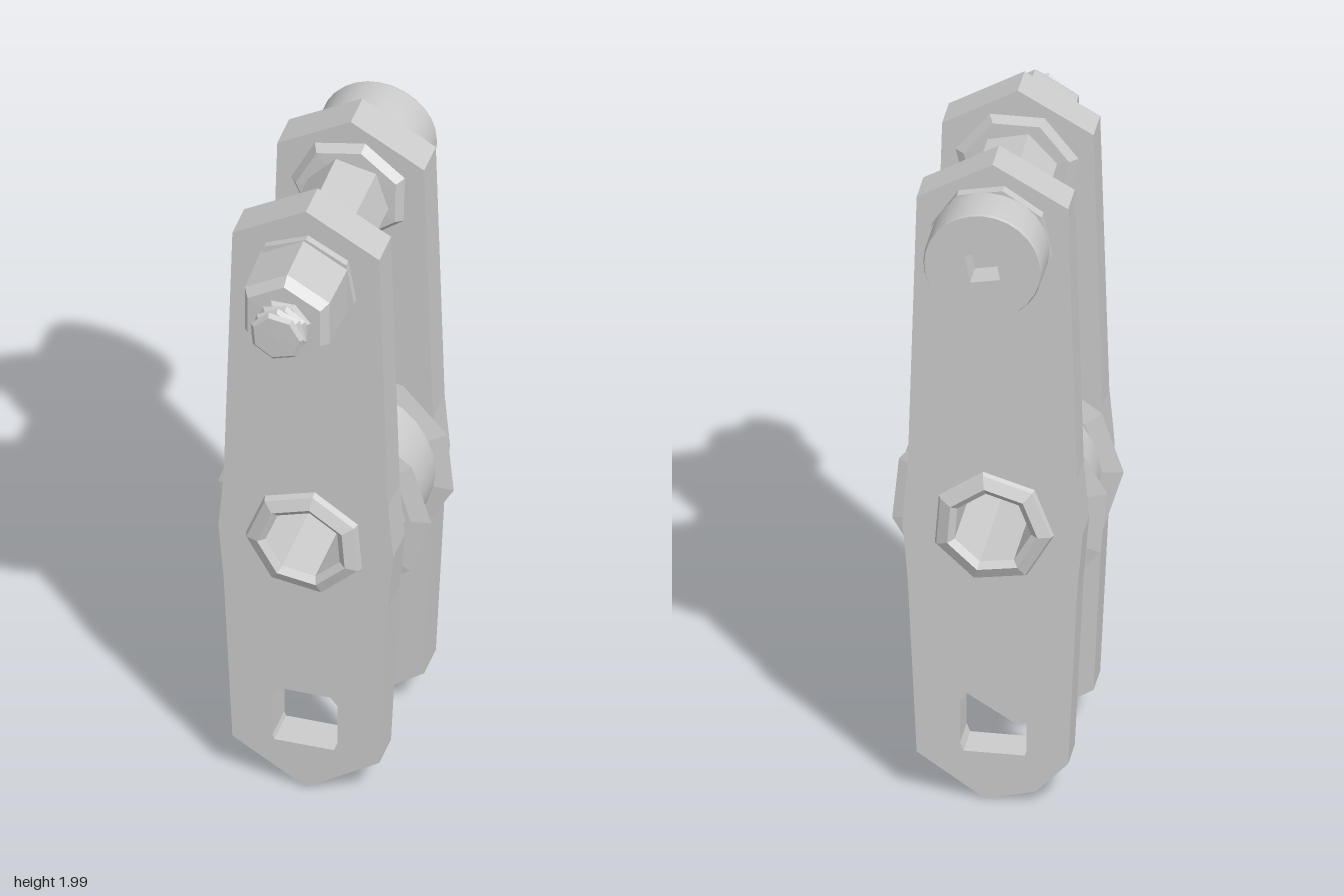
import * as THREE from 'three';

const AXLE_Y = 0.865, BOLT_Y = 1.77;

export function createModel() {
  const root = new THREE.Group();
  const flat = new THREE.MeshStandardMaterial({ color: 0xcccccc, flatShading: true });
  const smooth = new THREE.MeshStandardMaterial({ color: 0xcccccc });

  const add = (name, geo, mat, y = 0, z = 0, parent = root) => {
    const mesh = new THREE.Mesh(geo, mat);
    mesh.name = name;
    mesh.position.set(0, y, z);
    parent.add(mesh);
    return mesh;
  };

  // Turned part around the z axis; profile is [radius, z], from back to front
  const turned = (name, profile, sides, y, phase = 0, parent = root) => {
    const geo = new THREE.LatheGeometry(profile.map(([r, z]) => new THREE.Vector2(r, z)), sides, phase);
    geo.rotateX(Math.PI / 2);
    return add(name, geo, flat, y, 0, parent);
  };

  // Closed ring section with a through hole
  const ring = (inner, outer, z0, z1) =>
    [[inner, z0], [outer, z0], [outer, z1], [inner, z1], [inner, z0]];

  // Regular polygon hole
  const polygonHole = (radius, sides, y, phase = 0) => {
    const pts = [];
    for (let i = 0; i < sides; i++) {
      const a = phase + (i / sides) * Math.PI * 2;
      pts.push(new THREE.Vector2(Math.cos(a) * radius, y + Math.sin(a) * radius));
    }
    return new THREE.Path(pts);
  };

  // Side plates with pointed ends, axle hole and square lower hole
  const plate = (name, z, bottom) => {
    const outline = [...bottom, [0.21, 0.14], [0.235, 0.68], [0.25, 0.86], [0.235, 1.03], [0.21, 1.88],
      [0, 2], [-0.21, 1.88], [-0.235, 1.03], [-0.25, 0.86], [-0.235, 0.68], [-0.21, 0.14]];
    const shape = new THREE.Shape(outline.map(([x, y]) => new THREE.Vector2(x, y)));
    shape.holes.push(polygonHole(0.13, 7, AXLE_Y));
    const square = [[-0.09, 0.155], [0.08, 0.155], [0.09, 0.18], [0.09, 0.31], [0.07, 0.335],
      [-0.08, 0.335], [-0.095, 0.31], [-0.095, 0.17]];
    shape.holes.push(new THREE.Path(square.map(([x, y]) => new THREE.Vector2(x, y))));
    add(name, new THREE.ExtrudeGeometry(shape, { depth: 0.11, bevelEnabled: false }), flat, 0, z);
  };
  plate('frontPlate', 0.097, [[0, 0.01]]);
  plate('backPlate', -0.322, [[-0.12, 0.045], [0.02, 0.01]]);

  // Hollow axle with flared ends
  const axle = new THREE.Group();
  axle.name = 'pulleyAxle';
  root.add(axle);
  turned('axleTube', ring(0.11, 0.145, -0.335, 0.225), 7, AXLE_Y, 0.3, axle);
  turned('frontAxleCollar', [[0.11, 0.2], [0.175, 0.2], [0.165, 0.225], [0.13, 0.24], [0.11, 0.225]], 7, AXLE_Y, 0.3, axle);
  turned('backAxleCollar', [[0.11, -0.335], [0.13, -0.35], [0.165, -0.335], [0.175, -0.315], [0.11, -0.315]], 7, AXLE_Y, 0.3, axle);

  // Pulley: drum between two thin flanges, plus a spacer
  const pulley = new THREE.Group();
  pulley.name = 'pulley';
  root.add(pulley);
  const drum = new THREE.CylinderGeometry(0.24, 0.25, 0.22, 28);
  const drumTube = new THREE.LatheGeometry(
    [[0.25, -0.2], [0.246, -0.1], [0.242, 0.025]].map(([r, z]) => new THREE.Vector2(r, z)), 28);
  drum.dispose();
  drumTube.rotateX(Math.PI / 2);
  add('drum', drumTube, smooth, AXLE_Y, 0, pulley);
  turned('backFlange', [[0.14, -0.212], [0.25, -0.212], [0.305, -0.202], [0.25, -0.188], [0.14, -0.185]], 10, AXLE_Y, 0.1, pulley);
  turned('frontFlange', [[0.14, 0.015], [0.25, 0.018], [0.305, 0.03], [0.25, 0.042], [0.14, 0.04]], 10, AXLE_Y, 0.3, pulley);
  turned('spacer', ring(0.14, 0.235, 0.048, 0.097), 12, AXLE_Y, 0, pulley);

  // Cross bolt: shank, washers, socket head, nut and threaded end
  const bolt = new THREE.Group();
  bolt.name = 'crossBolt';
  root.add(bolt);
  turned('shank', [[0.12, -0.36], [0.115, 0.22]], 6, BOLT_Y, 0.3, bolt);
  turned('headWasher', ring(0.08, 0.17, -0.352, -0.322), 8, BOLT_Y, 0.2, bolt);
  turned('backInnerWasher', [[0.08, -0.215], [0.17, -0.212], [0.15, -0.188], [0.08, -0.185]], 7, BOLT_Y, 0.2, bolt);
  turned('frontInnerWasher', [[0.08, 0.07], [0.15, 0.072], [0.175, 0.085], [0.165, 0.1], [0.08, 0.1]], 7, BOLT_Y, 0, bolt);
  turned('nutWasher', ring(0.08, 0.15, 0.206, 0.228), 7, BOLT_Y, 0.4, bolt);

  turned('headSide', [[0.16, -0.49], [0.165, -0.48], [0.165, -0.365], [0.16, -0.357], [0, -0.357]], 28, BOLT_Y, 0, bolt)
    .material = smooth;
  const face = new THREE.Shape().absarc(0, 0, 0.161, 0, Math.PI * 2);
  face.holes.push(polygonHole(0.06, 4, 0, 0.6));
  add('socketFace', new THREE.ExtrudeGeometry(face, { depth: 0.1, bevelEnabled: false, curveSegments: 14 }),
    flat, BOLT_Y, -0.4902, bolt);
  turned('socketFloor', [[0, -0.41], [0.08, -0.41], [0.08, -0.39], [0, -0.39]], 6, BOLT_Y, 0, bolt);

  turned('nut', [[0, 0.21], [0.145, 0.21], [0.14, 0.38], [0.12, 0.412], [0, 0.414]], 6, BOLT_Y, 0, bolt);
  for (let i = 0; i < 4; i++) {
    const z = 0.408 + i * 0.02;
    turned('thread' + (i + 1), [[0, z], [0.07, z], [0.08, z + 0.01], [0.068, z + 0.02], [0, z + 0.021]], 7, BOLT_Y, i * 0.25, bolt);
  }
  return root;
}
